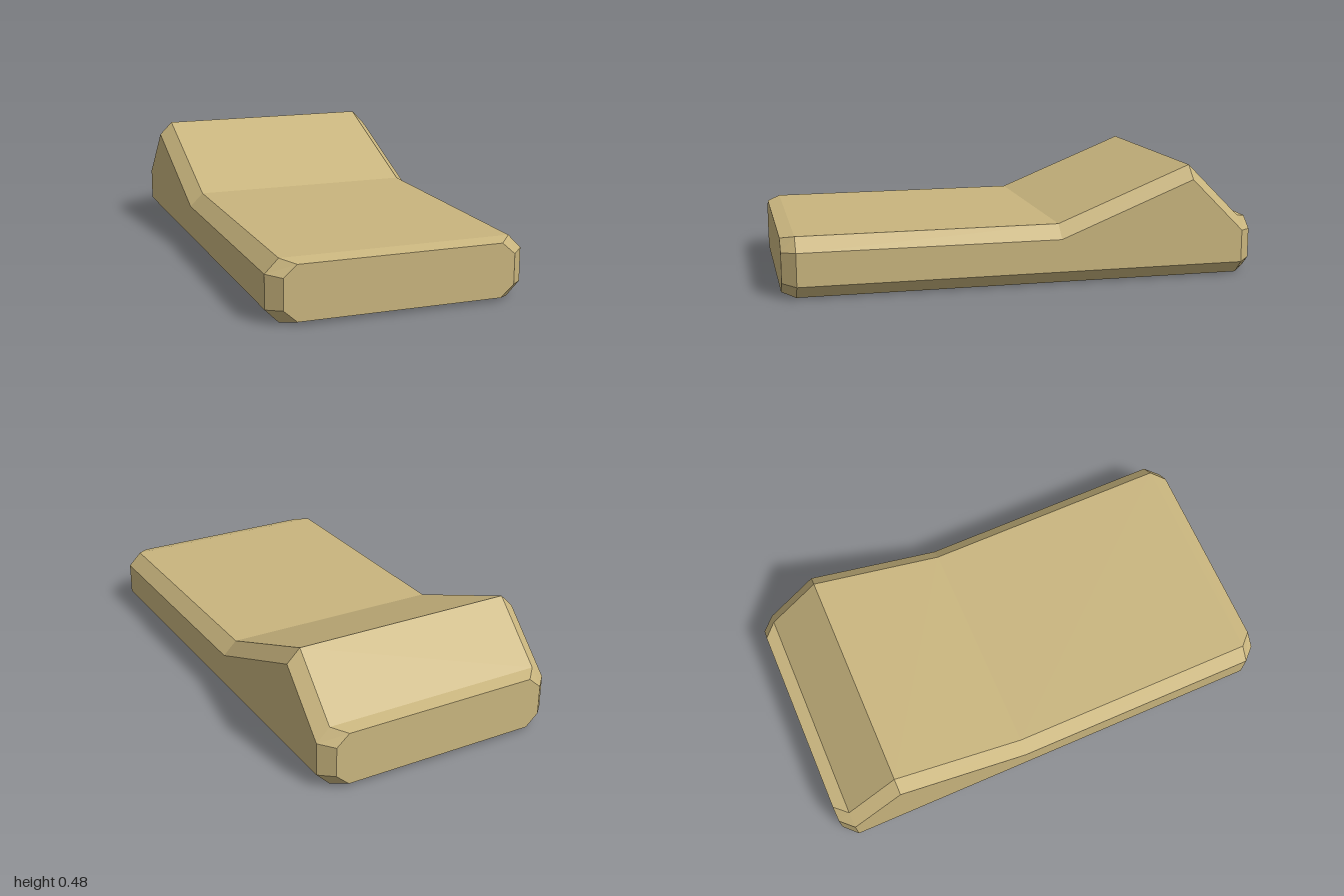
import * as THREE from 'three';

// Octagonal cross-section, counter-clockwise seen from the front
function ring({ z, side, inner, bottom, sideLow, sideHigh, top }) {
  return [
    [-inner, bottom, z], [inner, bottom, z],
    [side, sideLow, z], [side, sideHigh, z],
    [inner, top, z], [-inner, top, z],
    [-side, sideHigh, z], [-side, sideLow, z],
  ];
}

// Joins the rings from front to back and closes both ends
function loft(rings) {
  const n = rings[0].length;
  const positions = [];
  const tri = (a, b, c) => positions.push(...a, ...b, ...c);
  for (let s = 0; s < rings.length - 1; s++) {
    const a = rings[s], b = rings[s + 1];
    for (let i = 0; i < n; i++) {
      const j = (i + 1) % n;
      tri(a[i], b[i], b[j]);
      tri(a[i], b[j], a[j]);
    }
  }
  const front = rings[0], back = rings[rings.length - 1];
  for (let i = 1; i < n - 1; i++) {
    tri(front[0], front[i], front[i + 1]);
    tri(back[0], back[i + 1], back[i]);
  }
  const geometry = new THREE.BufferGeometry();
  geometry.setAttribute('position', new THREE.Float32BufferAttribute(positions, 3));
  geometry.computeVertexNormals();
  return geometry;
}

export function createModel() {
  const group = new THREE.Group();
  group.name = 'raisedSlab';
  const bevel = 0.056;

  // Full-width section with bevelled long edges
  const body = (z, top) => ring({
    z, side: 0.53, inner: 0.53 - bevel, bottom: 0, sideLow: bevel, sideHigh: top - bevel, top,
  });
  // Narrower section for the bevelled ends
  const end = (z) => ring({
    z, side: 0.475, inner: 0.42, bottom: 0.014, sideLow: 0.063, sideHigh: 0.188, top: 0.236,
  });

  // Flat slab rising to a ridge near the back
  const slab = new THREE.Mesh(
    loft([
      end(1),
      body(0.944, 0.25),
      body(-0.143, 0.25),
      body(-0.715, 0.478),
      body(-0.944, 0.25),
      end(-1),
    ]),
    new THREE.MeshStandardMaterial({ color: 0xc9b57e, flatShading: true }),
  );
  slab.name = 'slabWithRidge';
  group.add(slab);
  return group;
}
